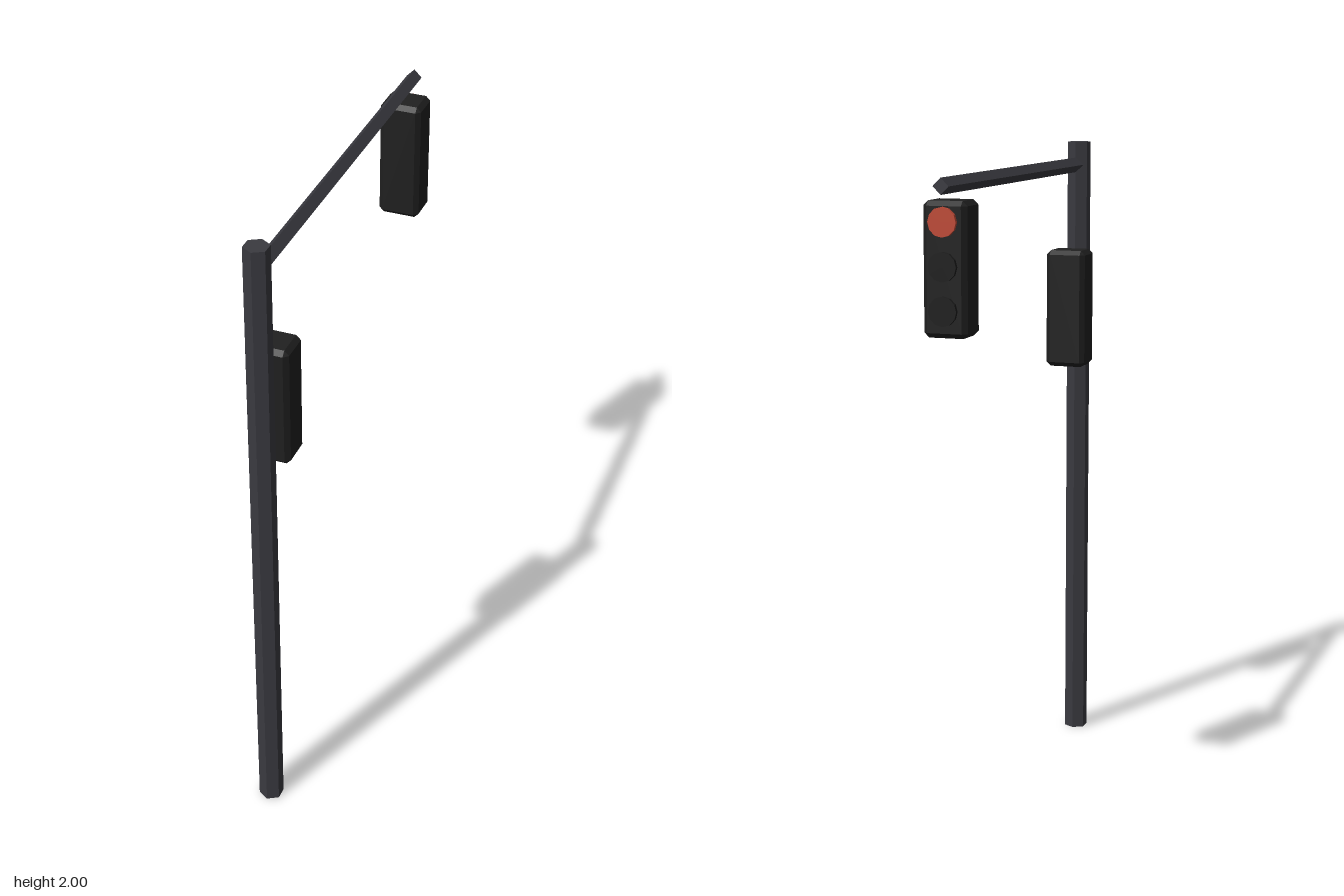
import * as THREE from 'three';
import { ConvexGeometry } from 'three/addons/geometries/ConvexGeometry.js';

function material(name, color) {
  const m = new THREE.MeshStandardMaterial({ color, flatShading: true });
  m.name = name;
  return m;
}

// Box with all edges bevelled flat
function bevelledBox(w, h, d, b) {
  const points = [];
  for (const x of [-w / 2, w / 2]) for (const y of [-h / 2, h / 2]) for (const z of [-d / 2, d / 2]) {
    const bx = x - Math.sign(x) * b, by = y - Math.sign(y) * b, bz = z - Math.sign(z) * b;
    points.push(new THREE.Vector3(x, by, bz), new THREE.Vector3(bx, y, bz), new THREE.Vector3(bx, by, z));
  }
  return new ConvexGeometry(points);
}

export function createModel() {
  const group = new THREE.Group();
  const steel = material('dark grey steel', 0x3a3a40);
  const casing = material('black casing', 0x202020);
  const unlit = material('unlit lens', 0x1c1c1c);
  const red = material('red lens', 0xc04a36);

  const add = (name, geometry, mat, x, y, z) => {
    const mesh = new THREE.Mesh(geometry, mat);
    mesh.name = name;
    mesh.position.set(x, y, z);
    group.add(mesh);
    return mesh;
  };

  // Hexagonal post
  add('post', new THREE.CylinderGeometry(0.038, 0.038, 2, 6), steel, 0, 1, 0.594);

  // Diamond-section overhead arm
  const arm = add('arm', new THREE.CylinderGeometry(0.0235, 0.0235, 1.226, 4), steel, 0, 1.926, -0.019);
  arm.rotation.x = Math.PI / 2;

  // Signal housings: one under the arm, one on the post
  const housing = bevelledBox(0.13, 0.38, 0.112, 0.014);
  add('hangingHousing', housing, casing, 0, 1.695, -0.556);
  add('postHousing', housing, casing, 0, 1.465, 0.501);

  // Three round lenses on the back of the hanging housing
  const disc = new THREE.CylinderGeometry(0.042, 0.042, 0.011, 12).rotateX(Math.PI / 2);
  const neck = new THREE.CylinderGeometry(0.03, 0.03, 0.012, 12).rotateX(Math.PI / 2);
  ['topLens', 'middleLens', 'bottomLens'].forEach((name, i) => {
    const y = 1.828 - i * 0.123;
    add(name, disc, i === 0 ? red : unlit, 0, y, -0.6225);
    add(name + 'Mount', neck, casing, 0, y, -0.613);
  });

  return group;
}
